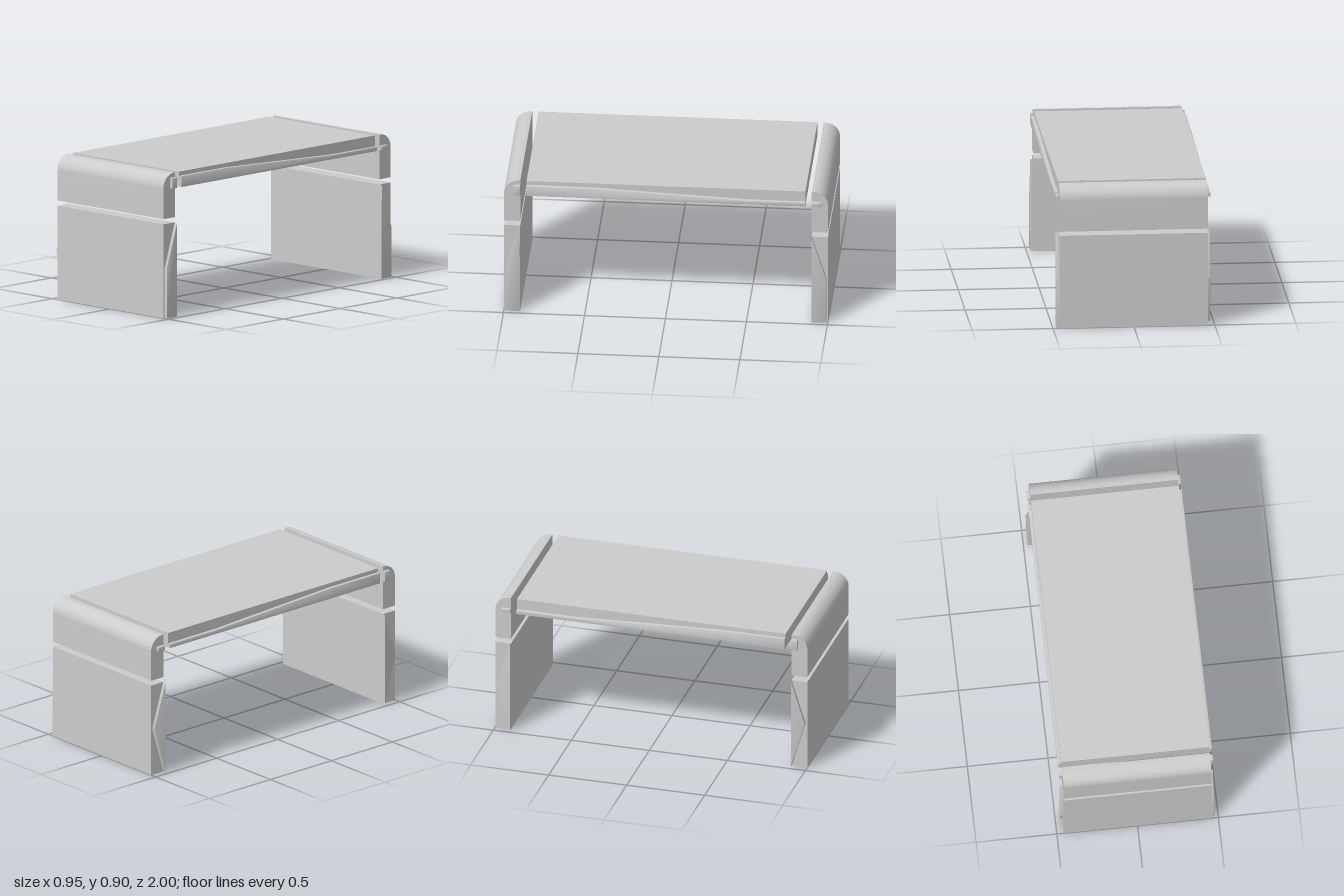
import * as THREE from 'three';
import { toCreasedNormals } from 'three/addons/utils/BufferGeometryUtils.js';

const HALF_W = 0.457;   // half width of the main panels
const EDGE = 0.477;     // half width including side trims
const END = 0.9;        // inner face of the end panels
const BASE = 0.805;     // underside of the table top

const material = new THREE.MeshStandardMaterial({ color: 0xcccccc });

// Extrude a side outline, drawn in (z, y), across x from x0 to x1
function acrossX(shape, x0, x1, bevel = 0) {
  const geo = new THREE.ExtrudeGeometry(shape, {
    depth: x1 - x0 - 2 * bevel, curveSegments: 16,
    bevelEnabled: bevel > 0, bevelThickness: bevel, bevelSize: bevel,
    bevelOffset: -bevel, bevelSegments: 2,
  });
  geo.translate(0, 0, x0 + bevel);
  geo.rotateY(Math.PI / 2);
  return toCreasedNormals(geo, 0.6);
}

// Closed outline from [z, y] points
function outline(points) {
  return new THREE.Shape(points.map(([z, y]) => new THREE.Vector2(-z, y)));
}

function add(group, name, geometry) {
  const mesh = new THREE.Mesh(geometry, material);
  mesh.name = name;
  group.add(mesh);
  return mesh;
}

// Thin raised trim on one side (+1 left, -1 right)
function addTrim(group, name, side, points) {
  const inner = HALF_W - 0.012;
  const [x0, x1] = side > 0 ? [inner, EDGE] : [-EDGE, -inner];
  add(group, name, acrossX(outline(points), x0, x1, 0.004));
}

// Rounded corner block: quarter round on the outer top edge
function cornerShape(end) {
  const r = 0.09, s = -end, shape = new THREE.Shape();
  shape.moveTo(s * END, 0.62);
  shape.lineTo(s * 1.0, 0.62);
  shape.lineTo(s * 1.0, 0.9 - r);
  shape.absarc(s * (1 - r), 0.9 - r, r, end > 0 ? Math.PI : 0, Math.PI / 2, end > 0);
  shape.lineTo(s * END, 0.9);
  shape.closePath();
  return shape;
}

export function createModel() {
  const model = new THREE.Group();
  model.name = 'table';

  // Table top slab
  const top = add(model, 'tableTop', new THREE.BoxGeometry(2 * HALF_W, 0.9 - BASE, 1.722));
  top.position.y = (0.9 + BASE) / 2;

  // Tapering trim along both long sides, tall at the front
  for (const side of [1, -1]) {
    addTrim(model, 'topTrim', side, [
      [0.861, BASE], [-0.861, BASE], [-0.861, 0.832],
      [-0.49, 0.832], [0.46, 0.874], [0.861, 0.874],
    ]);
  }

  for (const end of [1, -1]) {
    const endGroup = new THREE.Group();
    endGroup.name = end > 0 ? 'frontEnd' : 'backEnd';
    model.add(endGroup);

    add(endGroup, 'cornerBlock', acrossX(cornerShape(end), -HALF_W, HALF_W));

    const leg = add(endGroup, 'legPanel', new THREE.BoxGeometry(2 * HALF_W, 0.588, 0.1));
    leg.position.set(0, 0.294, end * 0.95);

    // End stops continue the top trim onto the corner block
    const depth = end > 0 ? 0.94 : 0.955;
    const height = end > 0 ? 0.872 : 0.832;
    for (const side of [1, -1]) {
      addTrim(endGroup, 'cornerTrim', side, [
        [end * END, BASE], [end * depth, BASE],
        [end * depth, height], [end * END, height],
      ]);
    }

    // Leg trims: full lower part on the left, a triangle on the right
    const z = end * 0.99;
    addTrim(endGroup, 'legTrim', 1, [[end * END, 0], [z, 0], [z, 0.31], [end * END, 0.588]]);
    addTrim(endGroup, 'legTrim', -1, [[end * END, 0], [z, 0.305], [end * END, 0.588]]);
  }
  return model;
}
